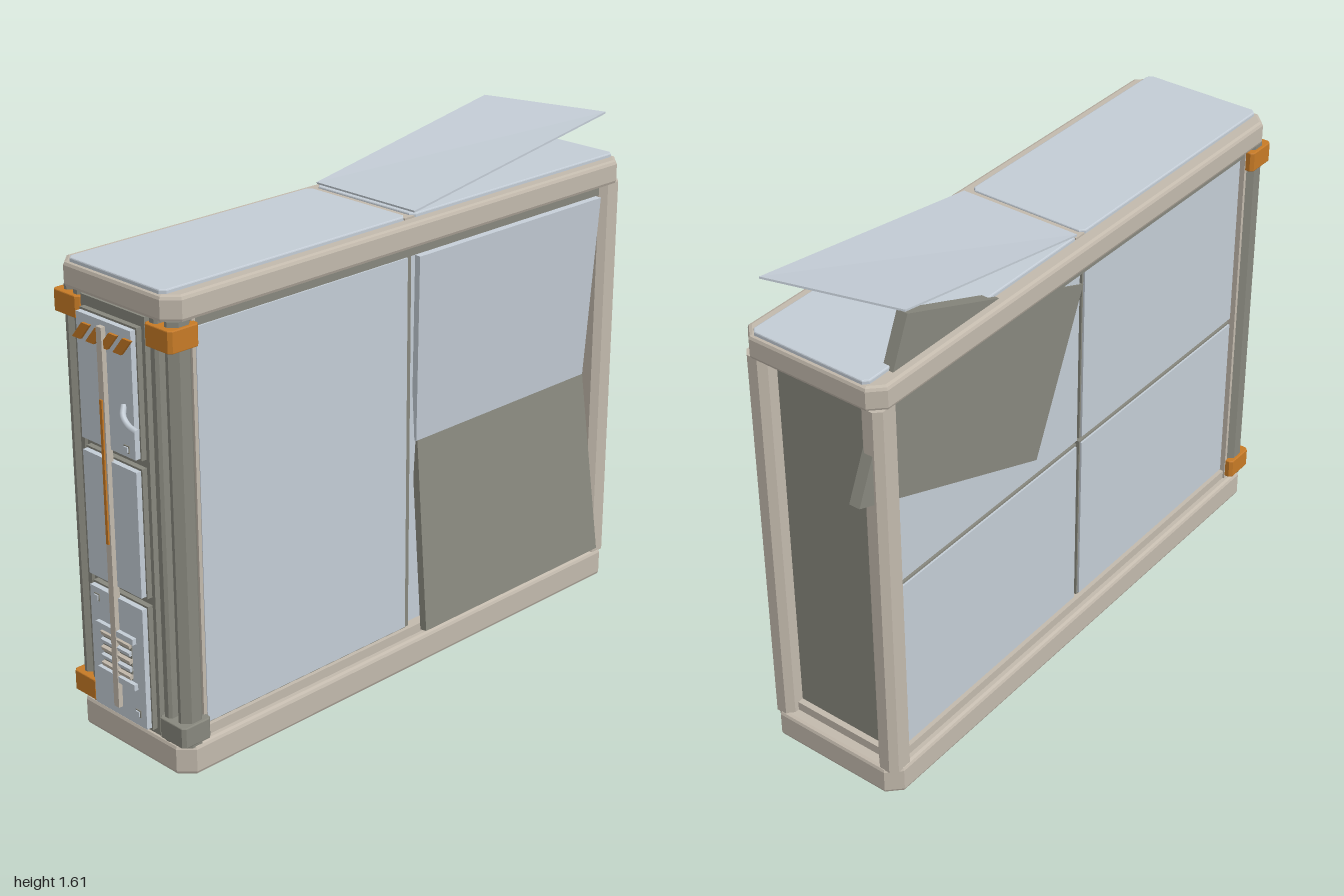
import * as THREE from 'three';

const mat = (name, color, side = THREE.FrontSide) => {
  const m = new THREE.MeshStandardMaterial({ color, side });
  m.name = name;
  return m;
};

export function createModel() {
  const panel = mat('pale blue panel', 0xc3ccd5);
  const beige = mat('beige frame', 0xc2b9ac);
  const grey = mat('dark grey', 0x87877d);
  const orange = mat('orange', 0xc67a26);
  const CX = -0.015;
  const root = new THREE.Group();
  root.name = 'cabinet';

  const add = (name, geo, material) => {
    const m = new THREE.Mesh(geo, material);
    m.name = name;
    root.add(m);
    return m;
  };
  // box given by its limits
  const box = (name, material, x0, x1, y0, y1, z0, z1) => {
    const m = add(name, new THREE.BoxGeometry(x1 - x0, y1 - y0, z1 - z0), material);
    m.position.set((x0 + x1) / 2, (y0 + y1) / 2, (z0 + z1) / 2);
    return m;
  };
  // upright prism with cut corners and a bevelled rim
  const block = (name, material, x0, x1, y0, y1, z0, z1, cut, bevel) => {
    const a = (x1 - x0) / 2 - bevel, b = (z1 - z0) / 2 - bevel, c = cut;
    const pts = [[a, -b + c], [a, b - c], [a - c, b], [-a + c, b], [-a, b - c], [-a, -b + c], [-a + c, -b], [a - c, -b]];
    const geo = new THREE.ExtrudeGeometry(new THREE.Shape(pts.map(p => new THREE.Vector2(...p))), {
      depth: y1 - y0 - 2 * bevel, bevelEnabled: bevel > 0, bevelSize: bevel, bevelThickness: bevel, bevelSegments: 2 });
    geo.rotateX(-Math.PI / 2);
    const m = add(name, geo, material);
    m.position.set((x0 + x1) / 2, y0 + bevel, (z0 + z1) / 2);
    return m;
  };
  // slab stretched over four corners, thickened behind its outer face
  const slab = (name, material, p00, p10, p01, p11, thick) => {
    const geo = new THREE.BoxGeometry(1, 1, 1).toNonIndexed();
    const [a, b, c, d] = [p00, p10, p01, p11].map(p => new THREE.Vector3(...p));
    const n = b.clone().sub(a).cross(c.clone().sub(a)).normalize();
    const pos = geo.attributes.position;
    for (let i = 0; i < pos.count; i++) {
      const u = pos.getX(i) + 0.5, v = pos.getY(i) + 0.5;
      const p = a.clone().lerp(b, u).lerp(c.clone().lerp(d, u), v);
      p.addScaledVector(n, (pos.getZ(i) - 0.5) * thick);
      pos.setXYZ(i, p.x, p.y, p.z);
    }
    geo.computeVertexNormals();
    return add(name, geo, material);
  };

  // base, top frame and core
  block('base', beige, -0.26, 0.23, 0, 0.095, -0.94, 0.94, 0.035, 0.012);
  block('topFrame', beige, -0.26, 0.23, 1.375, 1.452, -0.94, 0.94, 0.035, 0.012);
  box('core', grey, -0.195, 0.165, 0.09, 1.38, -0.88, 0.90);
  box('lowerTrim', beige, -0.235, 0.205, 0.09, 0.125, -0.9, 0.9);
  box('upperTrim', grey, -0.235, 0.205, 1.345, 1.38, -0.9, 0.9);

  // top covers
  for (const s of [-1, 1])
    block('topCover', panel, -0.215, 0.19, 1.44, 1.464, s < 0 ? -0.93 : 0.012, s < 0 ? -0.012 : 0.93, 0.012, 0.004);
  box('topCrossbar', beige, -0.215, 0.19, 1.44, 1.458, -0.02, 0.02);

  // corner posts: ribbed grey at the front, beige at the rear
  for (const s of [-1, 1]) {
    const span = (a, b) => [Math.min(CX + s * a, CX + s * b), Math.max(CX + s * a, CX + s * b)];
    block('rearPost', beige, ...span(0.165, 0.24), 0.09, 1.38, -0.935, -0.845, 0.02, 0);
    block('frontPost', grey, ...span(0.185, 0.24), 0.09, 1.38, 0.85, 0.93, 0.022, 0);
    block('frontPostRib', grey, ...span(0.145, 0.178), 0.09, 1.38, 0.85, 0.935, 0.008, 0);
    box('postStrip', beige, ...span(0.14, 0.225), 0.09, 1.38, 0.838, 0.85);
    for (const top of [0, 1]) {
      const y = top ? 1.3 : 0.105;
      block('cornerClamp', s > 0 && !top ? grey : orange, ...span(0.14, 0.25), y, y + 0.065, 0.842, 0.948, 0.008, 0.003);
    }
  }

  // side panel helper: plate with a raised inner face
  const sidePanel = (s, x, y0, y1, z0, z1) => {
    const at = (a, b) => [Math.min(x + s * a, x + s * b), Math.max(x + s * a, x + s * b)];
    box('sidePanelEdge', grey, ...at(-0.03, -0.006), y0, y1, z0, z1);
    box('sidePanel', panel, ...at(-0.03, 0), y0 + 0.006, y1 - 0.006, z0 + 0.006, z1 - 0.006);
  };
  // left side: one closed panel, one buckled panel in front of its bay
  sidePanel(1, 0.198, 0.125, 1.345, 0.008, 0.832);
  box('bayBacking', panel, 0.16, 0.17, 0.125, 1.345, -0.84, -0.008);
  box('bayDivider', grey, 0.16, 0.19, 0.125, 1.345, -0.008, 0.008);
  slab('buckledPanelUpper', panel, [0.178, 0.735, -0.05], [0.178, 0.735, -0.832],
    [0.222, 1.342, -0.012], [0.222, 1.342, -0.835], 0.02);
  slab('buckledPanelLower', grey, [0.262, 0.13, -0.015], [0.262, 0.13, -0.84],
    [0.178, 0.735, -0.055], [0.178, 0.735, -0.832], 0.025);
  // right side: four panels
  for (const [y0, y1] of [[0.125, 0.729], [0.741, 1.345]])
    for (const [z0, z1] of [[-0.84, -0.007], [0.007, 0.84]]) sidePanel(-1, -0.225, y0, y1, z0, z1);

  // loose panel turned through the upper rear corner
  slab('loosePanel', grey, [-0.229, 1.10, -0.995], [-0.229, 0.80, -0.22],
    [-0.229, 1.6, -0.775], [-0.229, 1.3, 0], 0.036);
  // lifted top sheet
  slab('liftedSheet', panel, [-0.218, 1.472, -0.02], [0.19, 1.472, -0.02],
    [-0.218, 1.605, -0.77], [0.19, 1.605, -0.88], 0.006);

  // front bay with three drawers
  box('frontBacking', grey, -0.15, 0.12, 0.1, 1.375, 0.88, 0.938);
  for (const [y0, y1] of [[0.12, 0.515], [0.54, 0.935], [0.96, 1.345]]) {
    box('drawerEdge', grey, -0.135, 0.107, y0, y1, 0.93, 0.955);
    box('drawerFront', panel, -0.13, 0.102, y0 + 0.006, y1 - 0.006, 0.93, 0.972);
  }
  // centre rail with orange marker
  box('centreRail', beige, -0.026, -0.004, 0.16, 1.325, 0.965, 0.987);
  box('railMarker', orange, -0.02, -0.01, 0.68, 1.115, 0.98, 0.992);

  // slanted warning stripes
  const stripe = new THREE.ExtrudeGeometry(new THREE.Shape([[0, 0], [0.035, 0], [0.078, 0.05], [0.043, 0.05]]
    .map(p => new THREE.Vector2(...p))), { depth: 0.008, bevelEnabled: false });
  for (let i = 0; i < 4; i++)
    add('warningStripe', stripe, orange).position.set(-0.14 + i * 0.058, 1.265, 0.973);

  // vent slats between two bars
  for (let i = 0; i < 5; i++) {
    const m = box('ventSlat', i % 2 ? panel : beige, -0.077, 0.05, 0.272 + i * 0.025, 0.285 + i * 0.025, 0.968, 0.984);
    m.rotation.x = 0.3;
  }
  box('ventBack', grey, -0.077, 0.05, 0.268, 0.386, 0.97, 0.975);
  for (const y of [0.243, 0.39]) box('ventBar', panel, -0.096, 0.069, y, y + 0.019, 0.965, 0.985);

  // square bolts
  for (const [x, y] of [[0.068, 0.99], [-0.098, 0.48], [0.068, 0.167]]) {
    box('boltRim', grey, x - 0.011, x + 0.011, y - 0.011, y + 0.011, 0.965, 0.975);
    box('bolt', panel, x - 0.008, x + 0.008, y - 0.008, y + 0.008, 0.965, 0.979);
  }
  // bent handle
  const path = new THREE.CatmullRomCurve3([[0.062, 1.118, 0.972], [0.075, 1.093, 0.987], [0.1, 1.073, 0.99], [0.135, 1.064, 0.99]]
    .map(p => new THREE.Vector3(...p)));
  add('handle', new THREE.TubeGeometry(path, 12, 0.009, 8), panel);
  return root;
}
